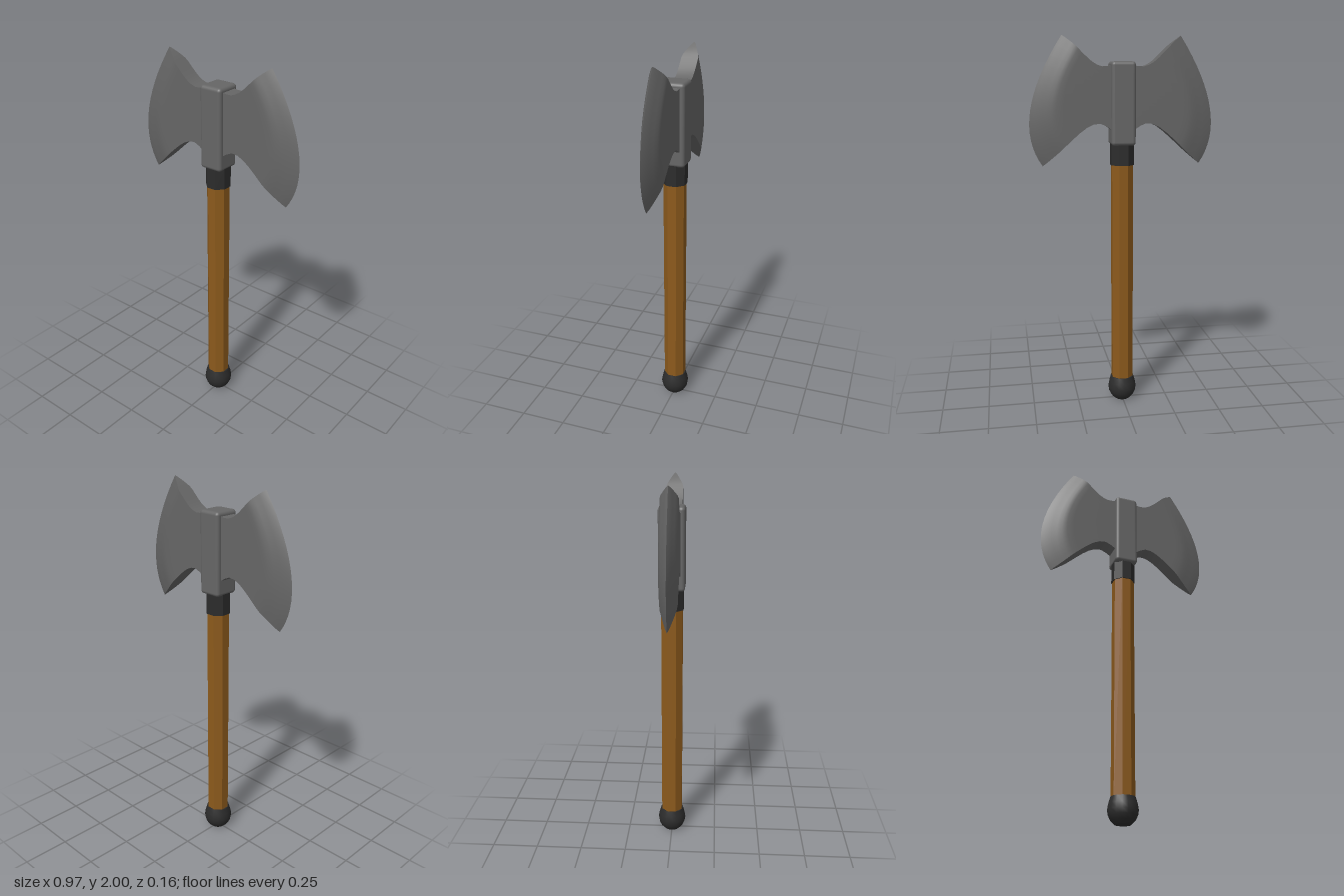
import * as THREE from 'three';
import { toCreasedNormals } from 'three/addons/utils/BufferGeometryUtils.js';
import { RoundedBoxGeometry } from 'three/addons/geometries/RoundedBoxGeometry.js';

const steel = new THREE.MeshStandardMaterial({ name: 'steel', color: 0x666666 });
const wood = new THREE.MeshStandardMaterial({ name: 'wood', color: 0x8c5a1c });
const iron = new THREE.MeshStandardMaterial({ name: 'darkIron', color: 0x2c2c2c });

const curve = (pts) => new THREE.SplineCurve(pts.map(([x, y]) => new THREE.Vector2(x, y)));

// One blade, lofted outward from the hub to a bevelled, curved cutting edge
function bladeGeometry() {
  const top = curve([[0.05, 1.85], [0.11, 1.845], [0.16, 1.868], [0.21, 1.913], [0.26, 1.962], [0.31, 2.0]]);
  const bottom = curve([[0.05, 1.515], [0.12, 1.555], [0.19, 1.535], [0.27, 1.47], [0.35, 1.395], [0.42, 1.335]]);
  const stations = [0, 0.06, 0.12, 0.2, 0.3, 0.4, 0.5, 0.6, 0.68, 0.74, 0.8, 0.87, 0.94, 1];
  const n = 16, ring = 2 * (n + 1);
  const positions = [], index = [];
  for (const t of stations) {
    const a = top.getPoint(t), b = bottom.getPoint(t);
    const mid = a.clone().add(b).multiplyScalar(0.5);
    mid.x += 0.225 * t;
    mid.y -= 0.09 * t * t;
    const section = new THREE.QuadraticBezierCurve(a, mid, b);
    const half = 0.045 * Math.min(1, (1 - t) / 0.29);
    for (let j = 0; j < ring; j++) {
      const front = j <= n;
      const p = section.getPoint((front ? j : ring - 1 - j) / n);
      positions.push(p.x, p.y, front ? half : -half);
    }
  }
  for (let i = 0; i < stations.length - 1; i++) {
    for (let j = 0; j < ring; j++) {
      const k = (j + 1) % ring;
      const a = i * ring + j, b = i * ring + k;
      index.push(a, b, b + ring, a, b + ring, a + ring);
    }
  }
  const g = new THREE.BufferGeometry();
  g.setAttribute('position', new THREE.Float32BufferAttribute(positions, 3));
  g.setIndex(index);
  return toCreasedNormals(g, 0.5);
}

export function createModel() {
  const model = new THREE.Group();
  model.name = 'doubleAxe';
  const add = (name, geometry, material, y = 0) => {
    const mesh = new THREE.Mesh(geometry, material);
    mesh.name = name;
    mesh.position.y = y;
    model.add(mesh);
    return mesh;
  };
  // Eight-sided bar with flats facing front and sides
  const bar = (radius, height) =>
    toCreasedNormals(new THREE.CylinderGeometry(radius, radius, height, 8).rotateY(Math.PI / 8), 0.5);

  // Shaft and collar
  add('handle', bar(0.061, 1.28), wood, 0.74);
  add('collar', bar(0.066, 0.115), iron, 1.3925);

  // Rounded pommel with a flat base
  const profile = [[0, 0], [0.042, 0], [0.062, 0.02], [0.074, 0.045], [0.078, 0.07], [0.073, 0.1], [0.063, 0.134], [0, 0.134]]
    .map(([x, y]) => new THREE.Vector2(x, y));
  add('pommel', toCreasedNormals(new THREE.LatheGeometry(profile, 16), 0.7), iron);

  // Central hub and the two mirrored blades
  add('hub', new RoundedBoxGeometry(0.128, 0.43, 0.138, 3, 0.018), steel, 1.655);
  const blade = bladeGeometry();
  add('leftBlade', blade, steel);
  add('rightBlade', blade, steel).rotation.y = Math.PI;

  return model;
}
